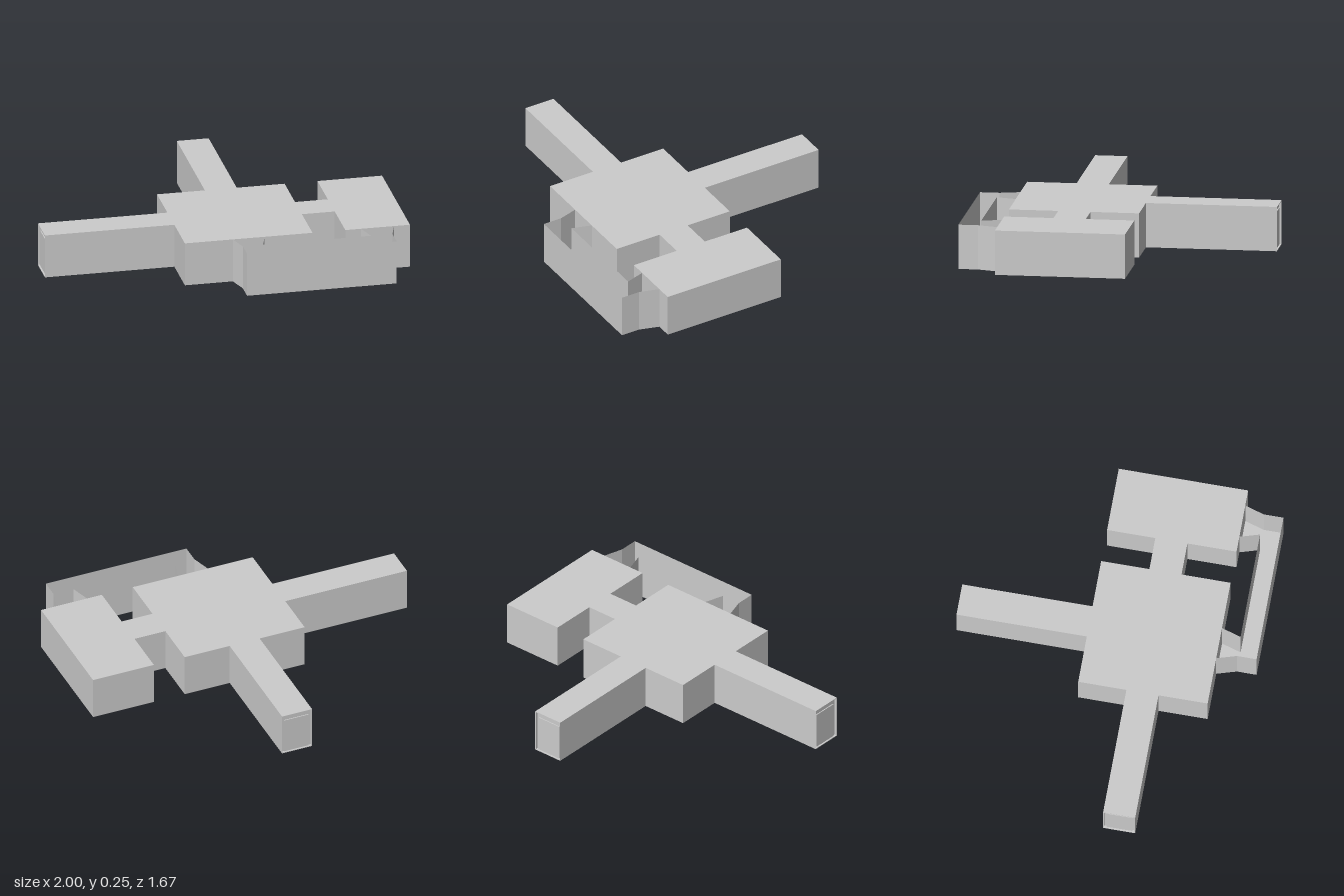
import * as THREE from 'three';

const H = 0.25;
const material = new THREE.MeshStandardMaterial({ color: 0xcccccc, flatShading: true });
const thin = new THREE.MeshStandardMaterial({ color: 0xcccccc, flatShading: true, side: THREE.DoubleSide });

// Box given by its x, y and z ranges
function block(name, [x0, x1], [y0, y1], [z0, z1]) {
  const mesh = new THREE.Mesh(new THREE.BoxGeometry(x1 - x0, y1 - y0, z1 - z0), material);
  mesh.name = name;
  mesh.position.set((x0 + x1) / 2, (y0 + y1) / 2, (z0 + z1) / 2);
  return mesh;
}

// Dead-end corridor running along local +z, with a shallow door recess at its end
function corridor(name, length) {
  const group = new THREE.Group();
  group.name = name;
  const w = 0.09, t = 0.004, recess = 0.015, end = length - recess;
  group.add(
    block('corridorBody', [-w, w], [0, H], [0, end]),
    block('corridorRoofLip', [-w, w], [H - t, H], [end, length]),
    block('corridorFloorLip', [-w, w], [0, t], [end, length]),
    block('door', [-w + 0.017, w - 0.017], [t, 0.212], [end, end + 0.006])
  );
  for (const s of [-1, 1]) {
    const x = s * (w - t / 2);
    group.add(block('corridorSideLip', [x - t / 2, x + t / 2], [t, H - t], [end, length]));
  }
  return group;
}

// Thin upright wall following a path of [x, z] points
function wall(name, path) {
  const positions = [];
  for (let i = 0; i + 1 < path.length; i++) {
    const [ax, az] = path[i], [bx, bz] = path[i + 1];
    positions.push(ax, 0, az, bx, 0, bz, bx, H, bz, ax, 0, az, bx, H, bz, ax, H, az);
  }
  const geometry = new THREE.BufferGeometry();
  geometry.setAttribute('position', new THREE.Float32BufferAttribute(positions, 3));
  geometry.computeVertexNormals();
  const mesh = new THREE.Mesh(geometry, thin);
  mesh.name = name;
  return mesh;
}

export function createModel() {
  const model = new THREE.Group();
  model.name = 'roomComplex';

  // Closed rooms and the short link between them
  model.add(
    block('mainRoom', [-0.27, 0.45], [0, H], [-0.11, 0.615]),
    block('sideRoom', [0.635, 1], [0, H], [-0.11, 0.615]),
    block('linkCorridor', [0.45, 0.635], [0, H], [0.16, 0.34])
  );

  // Long corridors to the back and to the right
  const back = corridor('backCorridor', 0.73);
  back.position.set(0.09, 0, -0.11);
  back.rotation.y = Math.PI;
  const right = corridor('rightCorridor', 0.73);
  right.position.set(-0.27, 0, 0.25);
  right.rotation.y = -Math.PI / 2;
  model.add(back, right);

  // Roofless U-shaped passage at the front
  const passage = new THREE.Group();
  passage.name = 'openPassage';
  const outer = [[0, 0.615], [0.033, 0.725], [0.033, 0.835], [0.877, 0.835], [0.877, 0.725], [0.91, 0.615]];
  const inner = [[0.18, 0.615], [0.147, 0.725], [0.757, 0.725], [0.724, 0.615]];
  const outline = [...outer, ...[...inner].reverse()].map(([x, z]) => new THREE.Vector2(x, z));
  const floor = new THREE.Mesh(new THREE.ShapeGeometry(new THREE.Shape(outline)), thin);
  floor.name = 'passageFloor';
  floor.rotation.x = Math.PI / 2;
  floor.position.y = 0.001;
  passage.add(floor, wall('passageOuterWall', outer), wall('passageInnerWall', inner));
  model.add(passage);

  return model;
}
